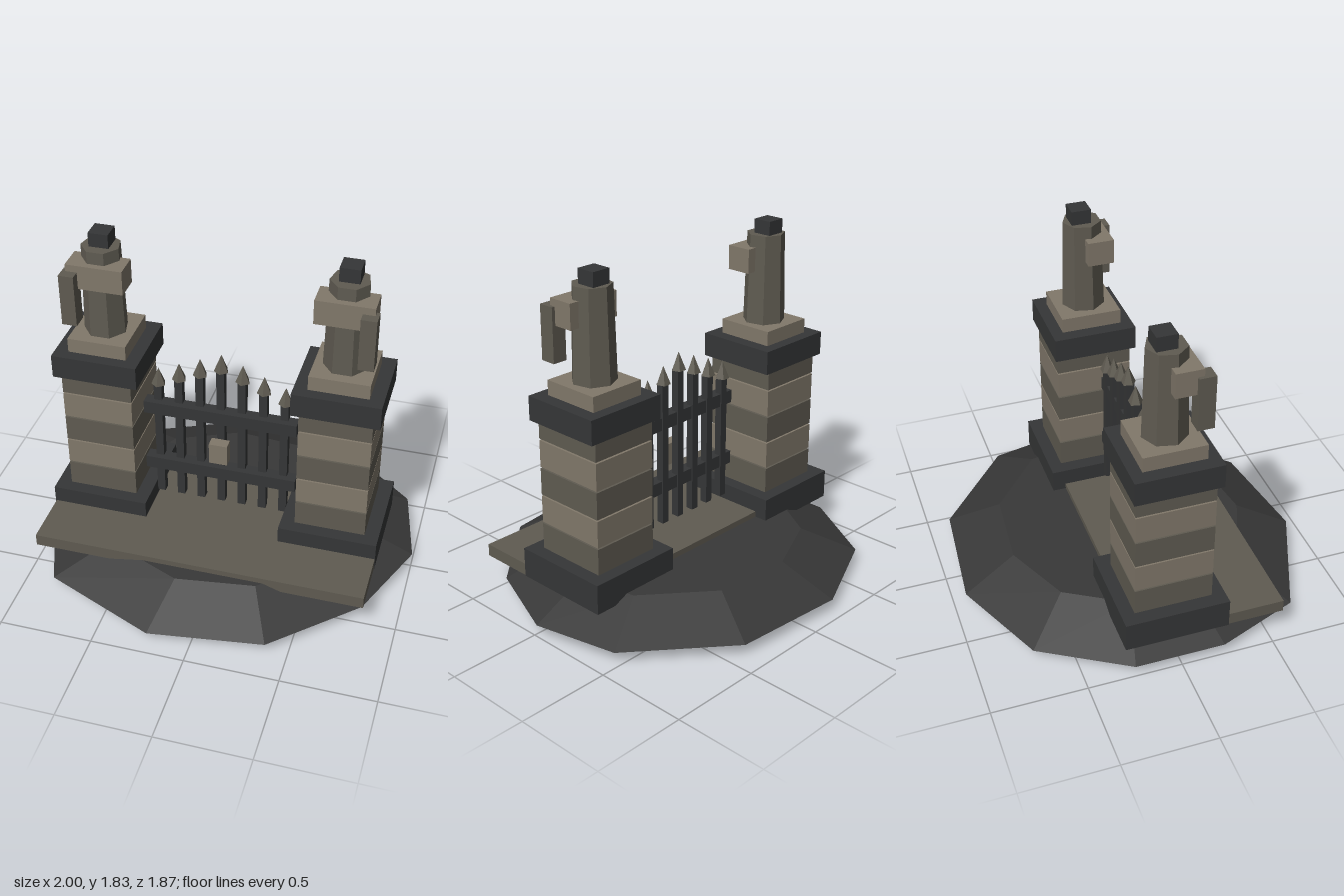
import * as THREE from 'three';

const material = (name, color) => {
  const m = new THREE.MeshStandardMaterial({ color, flatShading: true });
  m.name = name;
  return m;
};

export function createModel() {
  const model = new THREE.Group();
  model.name = 'gateway';
  const lightStone = material('light stone', 0x81786a);
  const darkStone = material('dark stone', 0x5f5b51);
  const iron = material('dark iron and slate', 0x353637);
  const earth = material('dark earth', 0x383838);

  const add = (parent, name, geometry, mat, x, y, z) => {
    const mesh = new THREE.Mesh(geometry, mat);
    mesh.name = name;
    mesh.position.set(x, y, z);
    parent.add(mesh);
    return mesh;
  };
  // Box given by its centre in x and z and its bottom and top heights
  const box = (parent, name, mat, x, z, w, d, y0, y1) =>
    add(parent, name, new THREE.BoxGeometry(w, y1 - y0, d), mat, x, (y0 + y1) / 2, z);

  // Irregular mound: one outline scaled into three rings, closed at both ends
  const outline = [[-0.22, -0.935], [0.41, -0.885], [0.9, -0.475], [1, -0.02], [0.81, 0.45], [0.385, 0.845],
    [-0.22, 0.93], [-0.83, 0.675], [-1, 0.23], [-1, -0.25], [-0.73, -0.705]];
  const rings = [[0, 0], [0.83, 0], [1, 0.065], [0.695, 0.205], [0, 0.205]];
  const n = outline.length;
  const positions = [], index = [];
  for (const [s, y] of rings) for (const [x, z] of outline) positions.push(x * s, y, z * s);
  for (let r = 0; r < rings.length - 1; r++) {
    for (let i = 0; i < n; i++) {
      const a = r * n + i, b = r * n + (i + 1) % n;
      if (r > 0) index.push(a, a + n, b);
      if (r < rings.length - 2) index.push(b, a + n, b + n);
      if (r === 0) index.push(a, a + n, b + n);
    }
  }
  // Drop the degenerate centre-fan triangles made next to the bottom centre
  const faces = [];
  for (let i = 0; i < index.length; i += 3) {
    const t = index.slice(i, i + 3);
    if (t.filter((v) => v < n).length < 2) faces.push(...t);
  }
  const mound = new THREE.BufferGeometry();
  mound.setAttribute('position', new THREE.Float32BufferAttribute(positions, 3));
  mound.setIndex(faces);
  const moundFlat = mound.toNonIndexed();
  moundFlat.computeVertexNormals();
  add(model, 'mound', moundFlat, earth, 0, 0, 0);

  // Paving slab
  box(model, 'pavingSlab', darkStone, -0.067, 0.17, 1.796, 0.78, 0.17, 0.237);

  // Two gate posts, each with a stylised statue; side is the direction of its raised arm
  for (const [name, x, side] of [['rightPost', -0.705, -1], ['leftPost', 0.568, 1]]) {
    const post = new THREE.Group();
    post.name = name;
    post.position.set(x, 0, -0.017);
    model.add(post);
    box(post, 'postBase', iron, 0, 0, 0.53, 0.55, 0.168, 0.33);
    for (let i = 0; i < 5; i++) {
      const y = 0.327 + i * 0.1545;
      box(post, 'stoneCourse', i % 2 ? lightStone : darkStone, 0, 0, 0.38, 0.41, y, y + 0.146);
    }
    box(post, 'postCap', iron, 0, 0, 0.46, 0.45, 1.05, 1.18);
    box(post, 'plinth', lightStone, 0, 0, 0.315, 0.325, 1.18, 1.26);
    const body = add(post, 'statueBody', new THREE.CylinderGeometry(0.103, 0.116, 0.49, 7), darkStone, 0, 1.505, 0);
    body.rotation.y = Math.PI;
    box(post, 'statueShoulders', lightStone, 0, 0.06, 0.3, 0.14, 1.55, 1.683);
    box(post, 'statueArm', darkStone, side * 0.128, 0.14, 0.08, 0.085, 1.36, 1.645);
    box(post, 'statueHead', iron, 0, -0.015, 0.105, 0.105, 1.748, 1.826);
  }

  // Iron gate with bars rising to the middle
  const gate = new THREE.Group();
  gate.name = 'gate';
  model.add(gate);
  for (let i = 0; i < 7; i++) {
    const x = -0.07 + (i - 3) * 0.115;
    const top = 1.125 - Math.abs(i - 3) * 0.048;
    box(gate, 'gateBar', iron, x, 0.03, 0.043, 0.043, 0.27, top);
    add(gate, 'gateSpike', new THREE.ConeGeometry(0.04, 0.1, 5), darkStone, x, top + 0.05, 0.025);
  }
  for (const y of [0.448, 0.818]) box(gate, 'gateRail', iron, -0.068, 0.05, 0.834, 0.068, y, y + 0.073);
  box(gate, 'gateLock', lightStone, -0.068, 0.085, 0.1, 0.06, 0.577, 0.7);
  return model;
}
